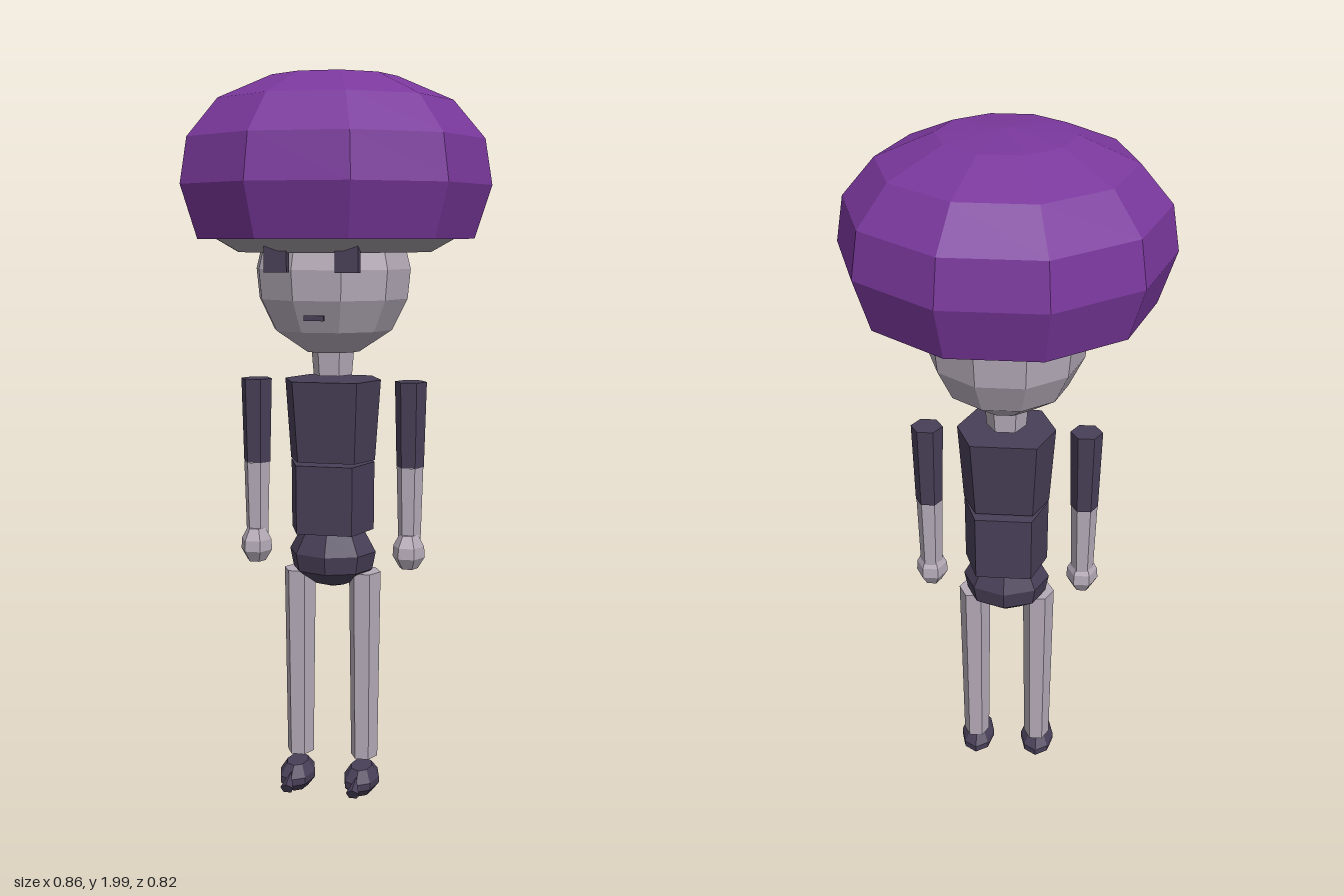
import * as THREE from 'three';

const mat = (name, color) => {
  const m = new THREE.MeshStandardMaterial({ color });
  m.name = name;
  return m;
};

// Unshared vertices give every facet its own normal
function faceted(geo) {
  const g = geo.index ? geo.toNonIndexed() : geo;
  g.computeVertexNormals();
  return g;
}

// Few-sided turned solid; profile is [radius, y] from bottom to top
function turned(profile, sides, sx = 1, sz = 1, start = Math.PI / 2) {
  const pts = profile.map(([r, y]) => new THREE.Vector2(r, y));
  return faceted(new THREE.LatheGeometry(pts, sides, start).scale(sx, 1, sz));
}

// Six-sided block whose front and back faces are widened
function torsoBlock(profile, half, sz) {
  const g = turned(profile, 6, 1, sz);
  const p = g.attributes.position;
  for (let i = 0; i < p.count; i++) {
    const x = p.getX(i);
    p.setX(i, Math.sign(x) * half * Math.pow(Math.abs(x) / half, 0.6));
  }
  return faceted(g);
}

export function createModel() {
  const purple = mat('capPurple', 0x7a389c);
  const skin = mat('paleSkin', 0xb5abb8);
  const gill = mat('gillGrey', 0xa39da2);
  const dark = mat('darkCloth', 0x483f57);
  const model = new THREE.Group();
  model.name = 'mushroomFigure';

  const add = (name, geo, material, x = 0, y = 0, z = 0, parent = model) => {
    const mesh = new THREE.Mesh(geo, material);
    mesh.name = name;
    mesh.position.set(x, y, z);
    parent.add(mesh);
    return mesh;
  };

  // Mushroom cap and its underside
  add('cap', turned([[0.34, 1.565], [0.385, 1.56], [0.43, 1.7], [0.41, 1.82],
    [0.325, 1.92], [0.175, 1.985], [0, 2]], 10), purple);
  add('capUnderside', turned([[0, 1.525], [0.27, 1.525], [0.35, 1.57]], 10), gill);

  // Head and neck
  add('head', turned([[0, 1.25], [0.075, 1.255], [0.165, 1.315], [0.207, 1.4],
    [0.215, 1.48], [0.195, 1.56]], 10), skin);
  add('neck', turned([[0, 1.19], [0.054, 1.19], [0.06, 1.26], [0, 1.26]], 6), skin);

  // Face
  for (const s of [-1, 1])
    add(s > 0 ? 'leftEye' : 'rightEye', new THREE.BoxGeometry(0.06, 0.08, 0.03), dark, s * 0.093, 1.515, 0.25);
  add('mouth', new THREE.BoxGeometry(0.052, 0.014, 0.015), dark, -0.003, 1.357, 0.212);

  // Torso
  add('chest', torsoBlock([[0, 0.955], [0.11, 0.955], [0.135, 1.178], [0, 1.178]], 0.135, 0.93), dark);
  add('waist', torsoBlock([[0, 0.76], [0.116, 0.76], [0.118, 0.95], [0, 0.95]], 0.118, 1.12), dark);
  add('pelvis', turned([[0, 0.59], [0.055, 0.605], [0.113, 0.645], [0.123, 0.695],
    [0.09, 0.755], [0, 0.755]], 8, 1, 0.88), dark);

  for (const s of [-1, 1]) {
    const side = s > 0 ? 'left' : 'right';

    // Arm
    const arm = new THREE.Group();
    arm.name = side + 'Arm';
    arm.position.x = s * 0.218;
    model.add(arm);
    add('sleeve', turned([[0, 0.94], [0.038, 0.94], [0.044, 1.175], [0, 1.175]], 6), dark, 0, 0, 0, arm);
    add('forearm', turned([[0, 0.72], [0.031, 0.72], [0.037, 0.94]], 6), skin, 0, 0, 0.003, arm);
    add('hand', turned([[0, 0.653], [0.026, 0.658], [0.045, 0.69], [0.043, 0.72],
      [0.026, 0.752], [0, 0.752]], 6, 1, 1.15), skin, 0, 0, 0.013, arm);

    // Leg
    const leg = new THREE.Group();
    leg.name = side + 'Leg';
    leg.position.x = s * 0.093;
    model.add(leg);
    add('legShaft', turned([[0, 0.1], [0.038, 0.1], [0.045, 0.64], [0, 0.64]], 6, 1, 1.15), skin, 0, 0, 0.005, leg);

    // Shoe with a flared tip
    add('shoe', turned([[0, 0.01], [0.03, 0.01], [0.05, 0.036], [0.05, 0.055],
      [0.03, 0.085], [0, 0.085]], 8, 1, 1.65), dark, 0, 0, 0.043, leg);
    const tip = add('shoeTip', faceted(new THREE.ConeGeometry(0.019, 0.06, 5)), dark, 0, 0.064, 0.146, leg);
    tip.rotation.x = -1.03;
  }
  return model;
}
